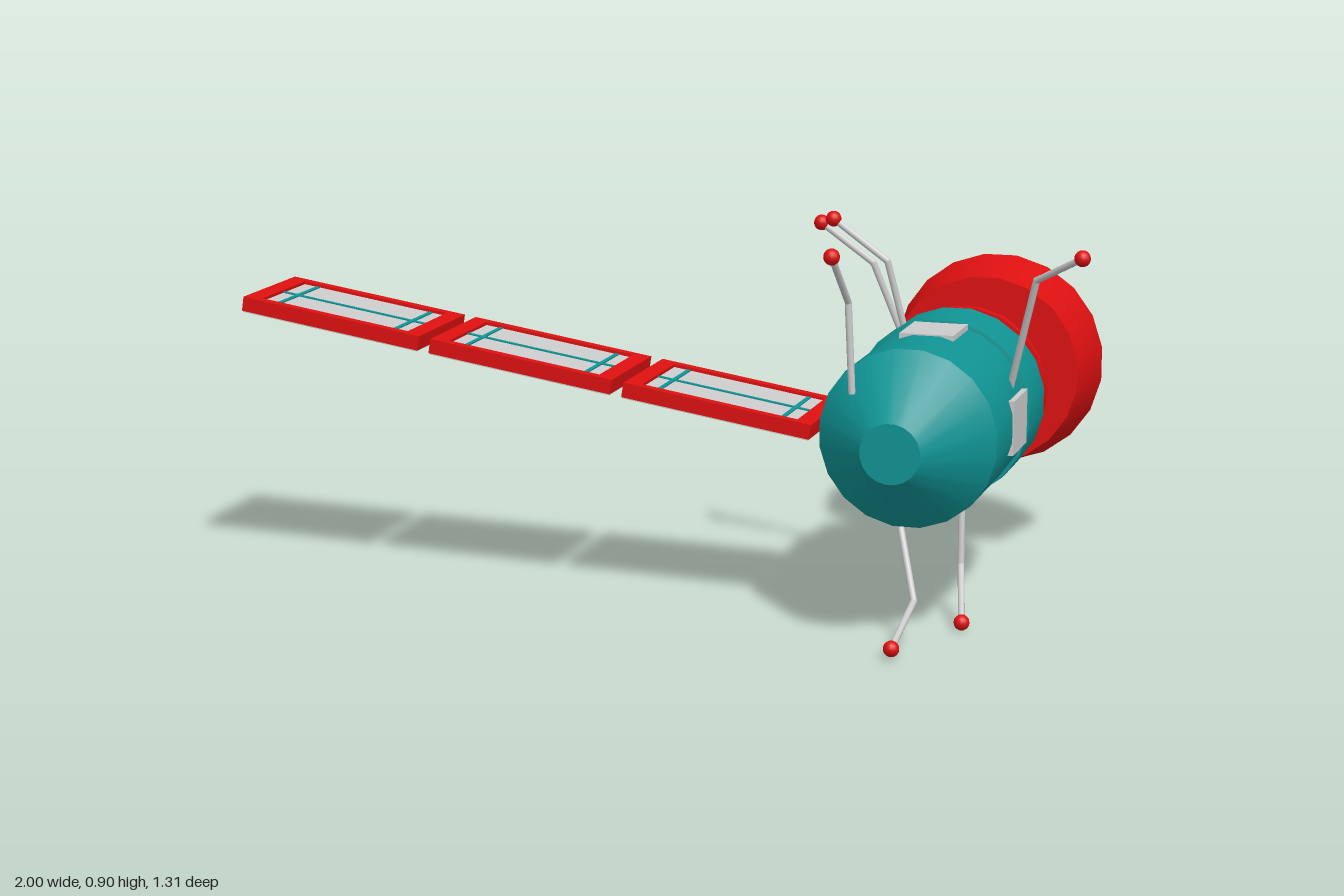
import * as THREE from 'three';
import { toCreasedNormals } from 'three/addons/utils/BufferGeometryUtils.js';

const AXIS_X = 0.62, AXIS_Y = 0.465, SIDES = 20;
const teal = new THREE.MeshStandardMaterial({ color: 0x109494 });
const red = new THREE.MeshStandardMaterial({ color: 0xdd1010 });
const grey = new THREE.MeshStandardMaterial({ color: 0xcccccc });

function add(parent, name, geometry, material, x = 0, y = 0, z = 0) {
  const mesh = new THREE.Mesh(geometry, material);
  mesh.name = name;
  mesh.position.set(x, y, z);
  parent.add(mesh);
  return mesh;
}

// Turned part along z; profile is [z, radius] from back to front, capped at both ends
function turned(parent, name, material, profile) {
  const pts = profile.map(([z, r]) => new THREE.Vector2(r, z));
  pts.unshift(new THREE.Vector2(0, profile[0][0]));
  pts.push(new THREE.Vector2(0, profile[profile.length - 1][0]));
  const geo = new THREE.LatheGeometry(pts, SIDES, Math.PI / SIDES).rotateX(Math.PI / 2);
  return add(parent, name, toCreasedNormals(geo, 0.45), material);
}

// Straight rod between two points
function rod(parent, name, a, b, radius) {
  const dir = b.clone().sub(a);
  const mesh = add(parent, name, new THREE.CylinderGeometry(radius, radius, dir.length(), 8), grey);
  mesh.position.copy(a).lerp(b, 0.5);
  mesh.quaternion.setFromUnitVectors(new THREE.Vector3(0, 1, 0), dir.normalize());
}

// Bent antenna with a ball on its tip
function antenna(parent, base, knee, tip) {
  const g = new THREE.Group();
  g.name = 'antenna';
  const [a, b, c] = [base, knee, tip].map(p => new THREE.Vector3(...p));
  rod(g, 'lowerRod', a, b, 0.008);
  rod(g, 'upperRod', b, c, 0.008);
  add(g, 'elbow', new THREE.SphereGeometry(0.008, 8, 6), grey, ...knee);
  add(g, 'tipBall', new THREE.SphereGeometry(0.018, 14, 10), red, ...tip);
  parent.add(g);
}

// Framed solar panel lying in its local xz plane
function solarPanel() {
  const g = new THREE.Group();
  g.name = 'solarPanel';
  const w = 0.445, d = 0.287, t = 0.034, rim = 0.038;
  const frame = new THREE.Shape([[-w, -d], [w, -d], [w, d], [-w, d]].map(([x, y]) => new THREE.Vector2(x / 2, y / 2)));
  const iw = w / 2 - rim, id = d / 2 - rim / 1.6;
  frame.holes.push(new THREE.Path([[-iw, -id], [-iw, id], [iw, id], [iw, -id]].map(([x, y]) => new THREE.Vector2(x, y))));
  const geo = new THREE.ExtrudeGeometry(frame, { depth: t, bevelEnabled: false });
  add(g, 'frame', geo.rotateX(-Math.PI / 2), red, 0, -t / 2, 0);
  add(g, 'cells', new THREE.BoxGeometry(iw * 2, 0.02, id * 2), grey, 0, 0, 0);
  add(g, 'backing', new THREE.BoxGeometry(w - 0.004, 0.004, d - 0.004), grey, 0, -t / 2 - 0.001, 0);
  add(g, 'longWire', new THREE.BoxGeometry(iw * 2, 0.004, 0.009), teal, 0, 0.011, 0);
  for (const x of [-0.147, 0.147])
    add(g, 'crossWire', new THREE.BoxGeometry(0.009, 0.004, id * 2 - 0.01), teal, x, 0.011, 0);
  return g;
}

export function createModel() {
  const model = new THREE.Group();
  model.name = 'satellite';

  // Body, coupling and engine along one axis
  const hull = new THREE.Group();
  hull.name = 'hull';
  hull.position.set(AXIS_X, AXIS_Y, 0);
  model.add(hull);
  turned(hull, 'body', teal, [[-0.088, 0.128], [0, 0.208], [0.165, 0.208], [0.166, 0.2], [0.475, 0.2], [0.635, 0.067]]);
  turned(hull, 'collarRing', red, [[-0.105, 0.193], [-0.083, 0.193]]);
  turned(hull, 'collar', teal, [[-0.182, 0.052], [-0.13, 0.13], [-0.1, 0.13]]);
  turned(hull, 'couplingCone', teal, [[-0.285, 0.052], [-0.229, 0.128], [-0.215, 0.128], [-0.18, 0.052]]);
  turned(hull, 'couplingRing', red, [[-0.229, 0.13], [-0.215, 0.13]]);
  turned(hull, 'engineNeck', teal, [[-0.31, 0.066], [-0.283, 0.066]]);
  turned(hull, 'engineBand', red, [[-0.47, 0.258], [-0.305, 0.228]]);
  turned(hull, 'engineCone', teal, [[-0.655, 0.035], [-0.528, 0.21], [-0.465, 0.21]]);

  // Four flat windows around the body
  for (let i = 0; i < 4; i++) {
    const holder = new THREE.Group();
    holder.name = 'windowMount';
    holder.rotation.z = i * Math.PI / 2;
    add(holder, 'window', new THREE.BoxGeometry(0.02, 0.123, 0.147), grey, 0.1905, 0, 0.237);
    hull.add(holder);
  }

  // Tilted wing of three solar panels on one side
  const wing = new THREE.Group();
  wing.name = 'solarWing';
  wing.position.set(-0.31, 0.5525, 0.247);
  wing.rotation.z = -0.156;
  for (const i of [-1, 0, 1]) {
    const panel = solarPanel();
    panel.position.x = i * 0.473;
    wing.add(panel);
  }
  model.add(wing);

  // Antennas: base, knee, tip
  antenna(model, [0.51, 0.57, 0.535], [0.5, 0.77, 0.535], [0.49, 0.885, 0.64]);
  antenna(model, [0.795, 0.54, 0.235], [0.865, 0.8, 0.315], [0.98, 0.867, 0.398]);
  antenna(model, [0.515, 0.63, 0.08], [0.48, 0.79, 0.108], [0.353, 0.882, 0.11]);
  antenna(model, [0.5, 0.62, 0.055], [0.44, 0.78, 0.08], [0.313, 0.865, 0.066]);
  antenna(model, [0.575, 0.28, 0.372], [0.635, 0.095, 0.457], [0.62, 0.026, 0.6]);
  antenna(model, [0.68, 0.28, 0.188], [0.685, 0.12, 0.21], [0.715, 0.019, 0.33]);

  return model;
}
